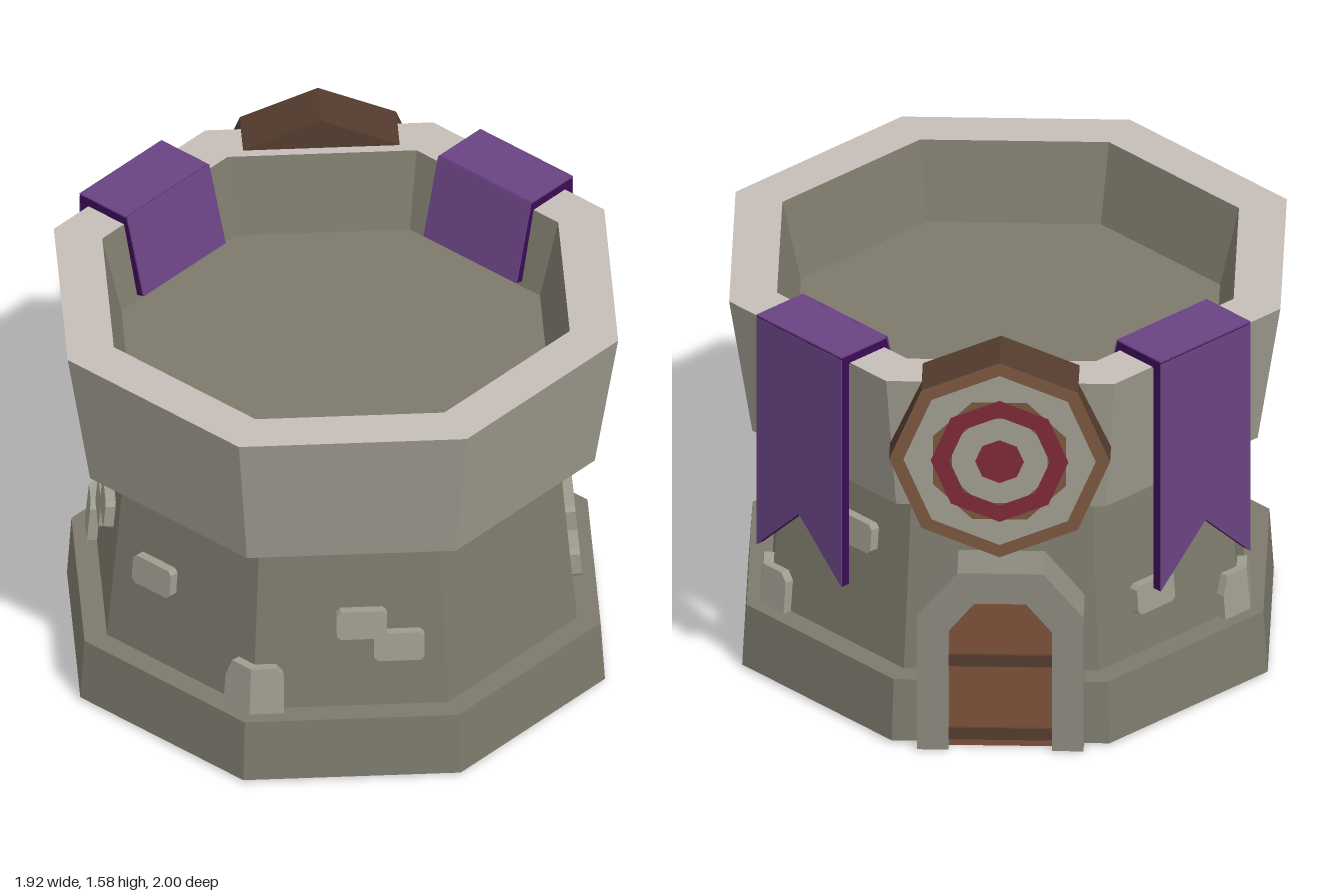
import * as THREE from 'three';

const mat = (name, color) => {
  const m = new THREE.MeshStandardMaterial({ color });
  m.name = name;
  return m;
};
const wallStone = mat('wall stone', 0x7d7a6c);
const lightStone = mat('light stone', 0xa09d90);
const rimStone = mat('rim stone', 0xc5beb8);
const archStone = mat('arch stone', 0x8c897d);
const purple = mat('purple cloth', 0x694382);
const darkPurple = mat('dark purple cloth', 0x3a0c54);
const wood = mat('wood', 0x7a583f);
const darkWood = mat('dark wood', 0x543c2e);
const doorWood = mat('door wood', 0x7d5239);
const red = mat('red paint', 0x7d2a38);

const CZ = 0.04;              // centre of the tower in z
const TAN = Math.tan(Math.PI / 8);
const SLOPE = 0.09;           // inward lean of the wall
const wallAt = (y) => 0.82 - (y - 0.24) * SLOPE;

// mesh with one flat normal per face
function mesh(name, geo, material, parent) {
  const g = geo.index ? geo.toNonIndexed() : geo;
  g.computeVertexNormals();
  const m = new THREE.Mesh(g, material);
  m.name = name;
  parent.add(m);
  return m;
}

function box(name, w, h, d, x, y, z, material, parent) {
  const m = mesh(name, new THREE.BoxGeometry(w, h, d), material, parent);
  m.position.set(x, y, z);
  return m;
}

// octagonal band from [apothem, y] points
function octagon(name, pts, material, parent) {
  const p = pts.map(([a, y]) => new THREE.Vector2(a / Math.cos(Math.PI / 8), y));
  mesh(name, new THREE.LatheGeometry(p, 8, Math.PI / 8), material, parent).position.z = CZ;
}

function extrude(pts, depth) {
  const s = new THREE.Shape(pts.map(([x, y]) => new THREE.Vector2(x, y)));
  return new THREE.ExtrudeGeometry(s, { depth, bevelEnabled: false });
}

// frame on one side of the tower, local z pointing outward
function side(name, degrees, parent) {
  const g = new THREE.Group();
  g.name = name;
  g.position.z = CZ;
  g.rotation.y = THREE.MathUtils.degToRad(degrees);
  parent.add(g);
  return g;
}

// outline laid on the leaning wall
function plate(name, pts, y, u, parent) {
  const m = mesh(name, extrude(pts, 0.065), lightStone, parent);
  m.position.set(u, y, wallAt(y) - 0.03);
  m.rotation.x = -Math.atan(SLOPE);
}

function brick(degrees, u, y, parent) {
  const w = 0.088, h = 0.055, c = 0.014;
  plate('brick', [[-w + c, -h], [w - c, -h], [w, -h + c], [w, h - c],
    [w - c, h], [-w + c, h], [-w, h - c], [-w, -h + c]], y, u, side('brickSide', degrees, parent));
}

// stone wrapped round the corner between two neighbouring sides
function cornerStone(degrees, h, parent) {
  const e = wallAt(0.24) * TAN + 0.014;
  const lean = SLOPE * TAN * h;
  const half = (s, w, drop) => {
    const pts = [[s * (e - w), 0], [s * e, 0], [s * (e - lean), h],
      [s * (e - w + 0.025), h], [s * (e - w), h - drop]];
    return s > 0 ? pts : pts.reverse();
  };
  plate('cornerStone', half(1, 0.12, 0.07), 0.24, 0, side('cornerStoneSide', degrees, parent));
  plate('cornerStone', half(-1, 0.12, 0.03), 0.24, 0, side('cornerStoneSide', degrees + 45, parent));
}

function banner(degrees, parent) {
  const g = side('banner', degrees, parent);
  const w = 0.215;
  // hanging cloth with swallowtail end
  const tail = [[-w, 0.585], [0, 0.79], [w, 0.585], [w, 1.485], [-w, 1.485]];
  mesh('bannerHang', extrude(tail, 0.032), darkPurple, g).position.z = 0.965;
  mesh('bannerFront', extrude(tail, 0.005), purple, g).position.z = 0.997;
  // fold over the rim
  box('bannerFold', 2 * w, 0.035, 0.212, 0, 1.473, 0.894, darkPurple, g);
  box('bannerFoldTop', 2 * w, 0.006, 0.215, 0, 1.493, 0.894, purple, g);
  // flap down the inside wall
  const flap = new THREE.Group();
  flap.name = 'bannerFlap';
  flap.position.set(0, 1.494, 0.79);
  flap.rotation.x = 0.25;
  g.add(flap);
  box('flapCloth', 2 * w, 0.31, 0.03, 0, -0.155, 0.01, darkPurple, flap);
  box('flapFront', 2 * w, 0.31, 0.006, 0, -0.155, -0.008, purple, flap);
}

export function createModel() {
  const root = new THREE.Group();
  root.name = 'tower';

  // tower shell
  octagon('base', [[0.915, 0.01], [0.9, 0.245], [0.8, 0.245]], wallStone, root);
  octagon('baseInside', [[0, 0.235], [0.898, 0.235], [0.914, 0.01]], wallStone, root);
  octagon('wall', [[0.82, 0.24], [0.757, 0.93]], wallStone, root);
  octagon('parapet', [[0.75, 0.93], [0.88, 0.93], [0.96, 1.46]], lightStone, root);
  octagon('rim', [[0.96, 1.46], [0.795, 1.46]], rimStone, root);
  octagon('parapetInside', [[0.795, 1.46], [0.73, 1.17]], wallStone, root);
  octagon('roofFloor', [[0.73, 1.17], [0, 1.17]], wallStone, root);

  // loose bricks: side angle, offset along the side, height
  [[0, 0.04, 0.58], [0, 0.17, 0.49], [90, -0.175, 0.415], [90, -0.045, 0.505],
    [135, -0.08, 0.755], [135, 0.08, 0.675], [225, -0.08, 0.455],
    [270, 0.1, 0.635], [270, -0.03, 0.545], [315, -0.13, 0.585],
  ].forEach(([a, u, y]) => brick(a, u, y, root));
  [[315, 0.18], [90, 0.15], [225, 0.16]].forEach(([a, h]) => cornerStone(a, h, root));

  banner(135, root);
  banner(225, root);

  // doorway
  const door = new THREE.Group();
  door.name = 'doorway';
  root.add(door);
  const arch = [[-0.29, 0], [-0.29, 0.53], [-0.15, 0.7], [0.15, 0.7], [0.29, 0.53], [0.29, 0],
    [0.18, 0], [0.18, 0.47], [0.09, 0.58], [-0.09, 0.58], [-0.18, 0.47], [-0.18, 0]];
  mesh('doorArch', extrude(arch, 0.17), archStone, door).position.z = -0.918;
  const panel = [[-0.18, 0], [0.18, 0], [0.18, 0.47], [0.09, 0.58], [-0.09, 0.58], [-0.18, 0.47]];
  mesh('doorPanel', extrude(panel, 0.12), doorWood, door).position.z = -0.883;
  for (const y of [0.05, 0.34]) box('doorBand', 0.36, 0.045, 0.014, 0, y, -0.886, darkWood, door);

  // round target above the door
  const target = new THREE.Group();
  target.name = 'target';
  target.position.set(0, 1.19, 0);
  root.add(target);
  const drum = new THREE.CylinderGeometry(0.385, 0.385, 0.2, 8).rotateX(-Math.PI / 2);
  mesh('targetDrum', drum, [darkWood, wood, darkWood], target).position.z = -0.89;
  const ring = (name, r0, r1, z, material, turn = 0) => {
    const geo = r0 ? new THREE.RingGeometry(r0, r1, 8) : new THREE.CircleGeometry(r1, 8);
    mesh(name, geo.rotateZ(turn).rotateY(Math.PI), material, target).position.z = z;
  };
  ring('targetFace', 0, 0.335, -0.992, lightStone);
  ring('targetWornRing', 0.18, 0.25, -0.995, wood, Math.PI / 8);
  ring('targetRing', 0.175, 0.24, -0.998, red);
  ring('targetCentre', 0, 0.085, -1.0, red);

  return root;
}
